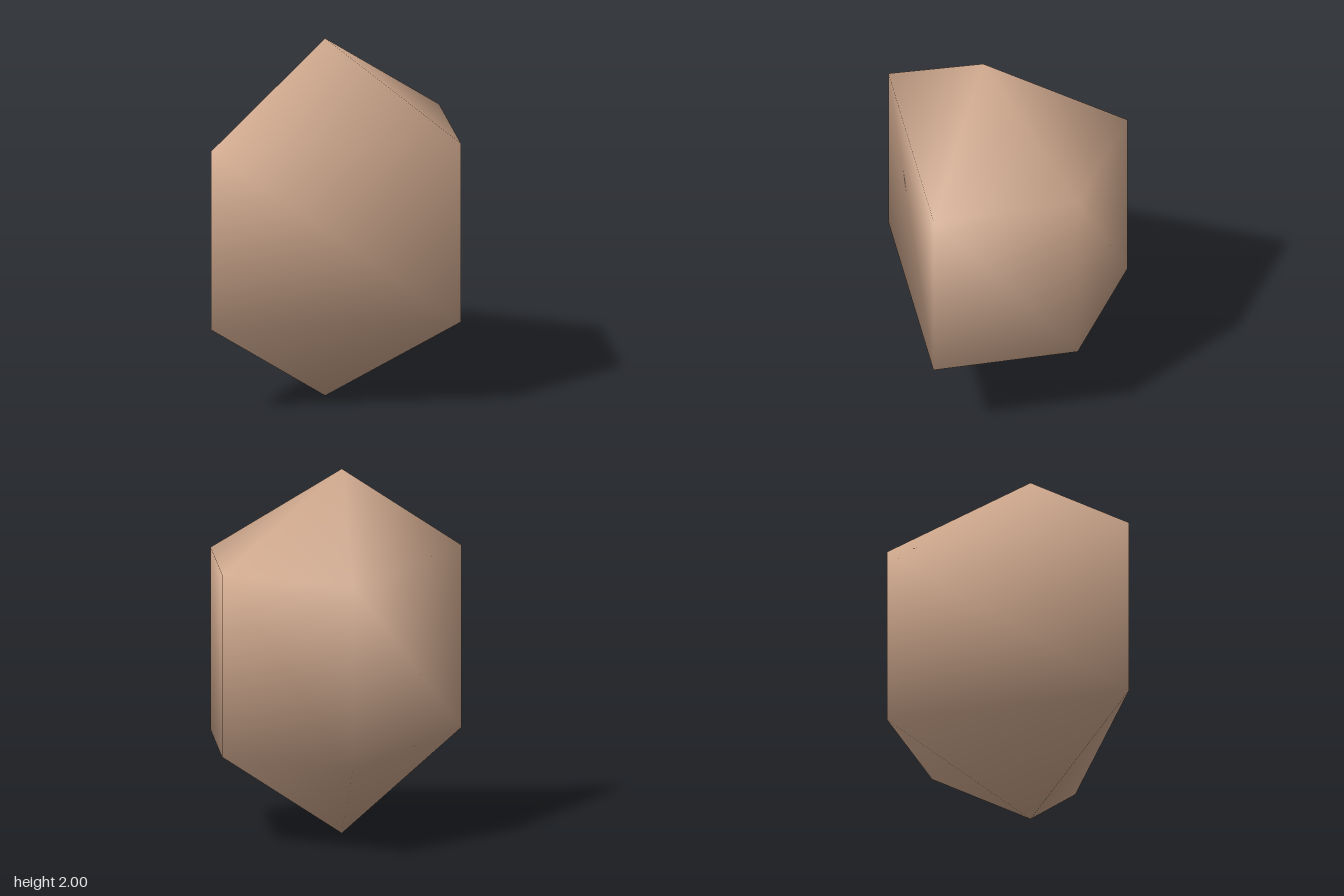
import * as THREE from 'three';

// Low-sided smooth stone: a kite-shaped column with a point at each end.
export function createModel() {
  const group = new THREE.Group();
  group.name = 'stone';

  const tan = new THREE.MeshStandardMaterial({ color: 0xd2ab90 });
  tan.name = 'tan';

  // Corners of the kite outline [x, z], in the column order of the sphere
  const corners = [[-0.695, -0.388], [0, 0.775], [0.695, -0.388], [0, -0.775]];

  // Four columns and three rows; the two middle rings take the kite outline
  const geometry = new THREE.SphereGeometry(1, 4, 3);
  const position = geometry.attributes.position;
  const normal = geometry.attributes.normal;
  const v = new THREE.Vector3();
  for (let i = 0; i < position.count; i++) {
    v.fromBufferAttribute(position, i);
    if (Math.abs(v.y) < 0.9) {
      const [x, z] = corners[(i % 5) % 4];
      v.set(x, v.y, z);
    }
    position.setXYZ(i, v.x, v.y, v.z);
    // Smooth normals that point away from the centre
    v.normalize();
    normal.setXYZ(i, v.x, v.y, v.z);
  }
  geometry.translate(0, 1, 0);

  const body = new THREE.Mesh(geometry, tan);
  body.name = 'stoneBody';
  group.add(body);
  return group;
}
